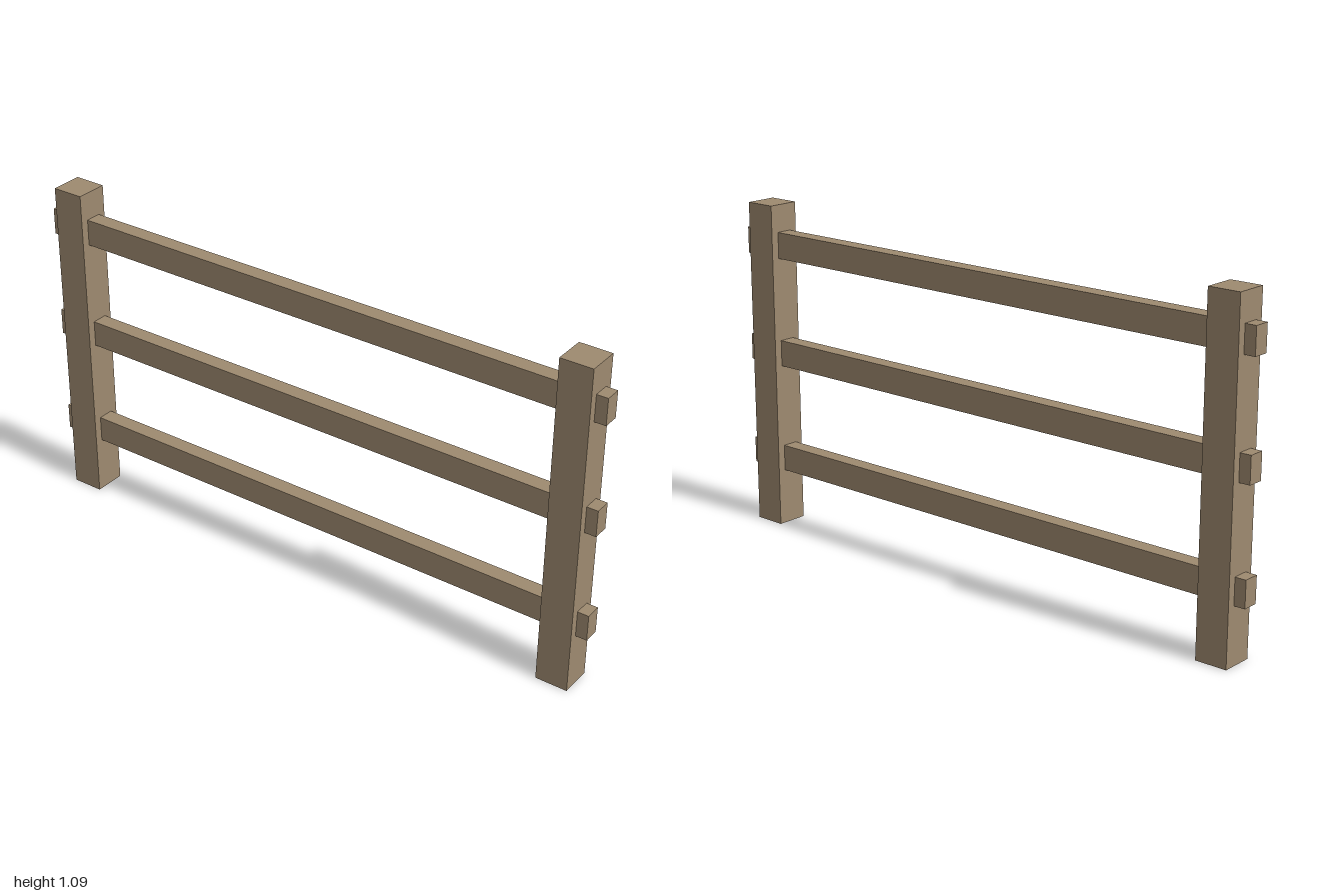
import * as THREE from 'three';

export function createModel() {
  const fence = new THREE.Group();
  fence.name = 'railFence';
  const wood = new THREE.MeshStandardMaterial({ color: 0x9e8a70 });

  const beam = (name, size, position) => {
    const mesh = new THREE.Mesh(new THREE.BoxGeometry(...size), wood);
    mesh.name = name;
    mesh.position.set(...position);
    fence.add(mesh);
  };

  // Two square upright posts
  const postHeight = 1.091;
  for (const [name, side] of [['leftPost', 1], ['rightPost', -1]]) {
    beam(name, [0.106, postHeight, 0.106], [side * 0.91, postHeight / 2, 0]);
  }

  // Three rails passing through the posts, their ends showing outside
  ['lowerRail', 'middleRail', 'upperRail'].forEach((name, i) => {
    beam(name, [2, 0.087, 0.053], [0, 0.23 + i * 0.3635, 0]);
  });

  return fence;
}
